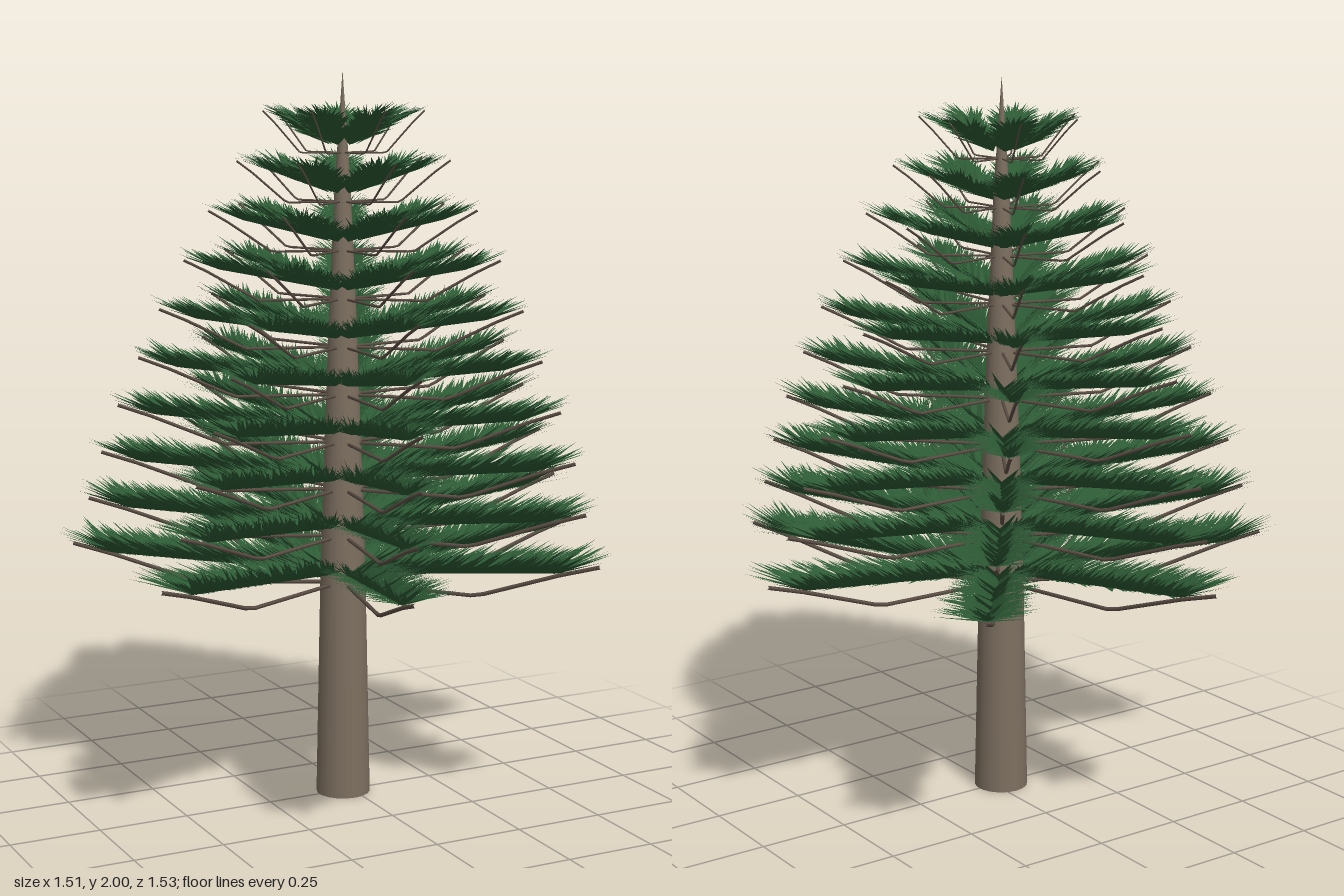
import * as THREE from 'three';
import { mergeGeometries } from 'three/addons/utils/BufferGeometryUtils.js';

// small seeded random generator
function makeRandom(seed) {
  return () => {
    seed = (seed * 1664525 + 1013904223) >>> 0;
    return seed / 4294967296;
  };
}

const ARMS = 7;
const TIER_REACH = [0.79, 0.74, 0.70, 0.65, 0.59, 0.53, 0.46, 0.39, 0.31, 0.235];

// thin branch: level near the trunk, then bent upwards to the tip
function branchGeometry(reach) {
  const path = new THREE.CurvePath();
  const points = [[0, 0], [reach * 0.5, 0], [reach * 0.8, 0.08], [reach * 0.94, 0.112]]
    .map(([x, y]) => new THREE.Vector3(x, y, 0));
  for (let i = 0; i < 3; i++) path.add(new THREE.LineCurve3(points[i], points[i + 1]));
  const thickness = 0.001 + 0.006 * reach;
  return new THREE.TubeGeometry(path, 20, thickness, 5);
}

// frond: rows of pointed needles rising in a V from a spine along +x
function frondGeometry(reach, random) {
  const length = 0.085 + 0.12 * reach;
  const start = 0.045;
  const end = reach - length * 0.97;
  const positions = [];
  const along = new THREE.Vector3(end - start, 0.055, 0).normalize();

  const needle = (t, forward, side, up, size) => {
    const base = new THREE.Vector3(start + (end - start) * t, 0.028 + 0.055 * t, 0);
    const tip = new THREE.Vector3(forward, up, side).normalize().multiplyScalar(size).add(base);
    // keep the base edge wide even where the needle points straight ahead
    const edge = along.clone().multiplyScalar(0.012);
    if (Math.abs(side) < 0.3) edge.set(0, 0, 0.011);
    const a = base.clone().sub(edge), b = base.clone().add(edge);
    positions.push(...a.toArray(), ...b.toArray(), ...tip.toArray());
  };

  const count = Math.ceil((end - start) / 0.008) + 4;
  for (let i = 0; i <= count; i++) {
    const t = i / count;
    for (const mirror of [-1, 1]) {
      // outer, middle and inner rows
      for (const [side, up, scale] of [[0.78, 0.34, 1], [0.6, 0.42, 0.95], [0.36, 0.48, 0.8]]) {
        needle(t, 0.6 + 0.2 * random(), mirror * (side + 0.16 * (random() - 0.5)),
          up + 0.14 * (random() - 0.5), length * scale * (0.75 + 0.3 * random()));
      }
    }
  }
  // fan of needles at the tip
  for (let i = -6; i <= 6; i++) {
    needle(1, 1, i * 0.1, 0.35 + 0.2 * random(), length * (0.8 + 0.25 * random()));
  }

  const geometry = new THREE.BufferGeometry();
  geometry.setAttribute('position', new THREE.Float32BufferAttribute(positions, 3));
  geometry.computeVertexNormals();
  return geometry;
}

export function createModel() {
  const random = makeRandom(7);
  const bark = new THREE.MeshStandardMaterial({ color: 0x7d6f60 });
  bark.name = 'bark';
  const twig = new THREE.MeshStandardMaterial({ color: 0x5c4f45 });
  twig.name = 'twig';
  const needles = new THREE.MeshStandardMaterial({ color: 0x2d5a35, side: THREE.DoubleSide });
  needles.name = 'needleGreen';

  const tree = new THREE.Group();
  tree.name = 'coniferTree';
  tree.position.x = -0.025;
  const model = new THREE.Group();
  model.add(tree);

  // tapering trunk with a closed foot
  const profile = [[0, 0], [0.075, 0], [0.075, 0], [0.063, 0.6], [0.05, 1.0], [0.037, 1.35], [0.021, 1.7], [0, 2]]
    .map(([r, y]) => new THREE.Vector2(r, y));
  const trunk = new THREE.Mesh(new THREE.LatheGeometry(profile, 18), bark);
  trunk.name = 'trunk';
  tree.add(trunk);

  // tiers of seven arms, each turned a little from the one below
  TIER_REACH.forEach((reach, level) => {
    const branches = [], fronds = [];
    for (let arm = 0; arm < ARMS; arm++) {
      const angle = -arm * Math.PI * 2 / ARMS + level * 0.032;
      branches.push(branchGeometry(reach).rotateY(angle));
      fronds.push(frondGeometry(reach, random).rotateY(angle));
    }
    const tier = new THREE.Group();
    tier.name = `tier${level + 1}`;
    tier.position.y = 0.602 + 0.131 * level;
    const branchMesh = new THREE.Mesh(mergeGeometries(branches), twig);
    branchMesh.name = 'branches';
    const frondMesh = new THREE.Mesh(mergeGeometries(fronds), needles);
    frondMesh.name = 'needleFronds';
    tier.add(branchMesh, frondMesh);
    tree.add(tier);
  });

  return model;
}
